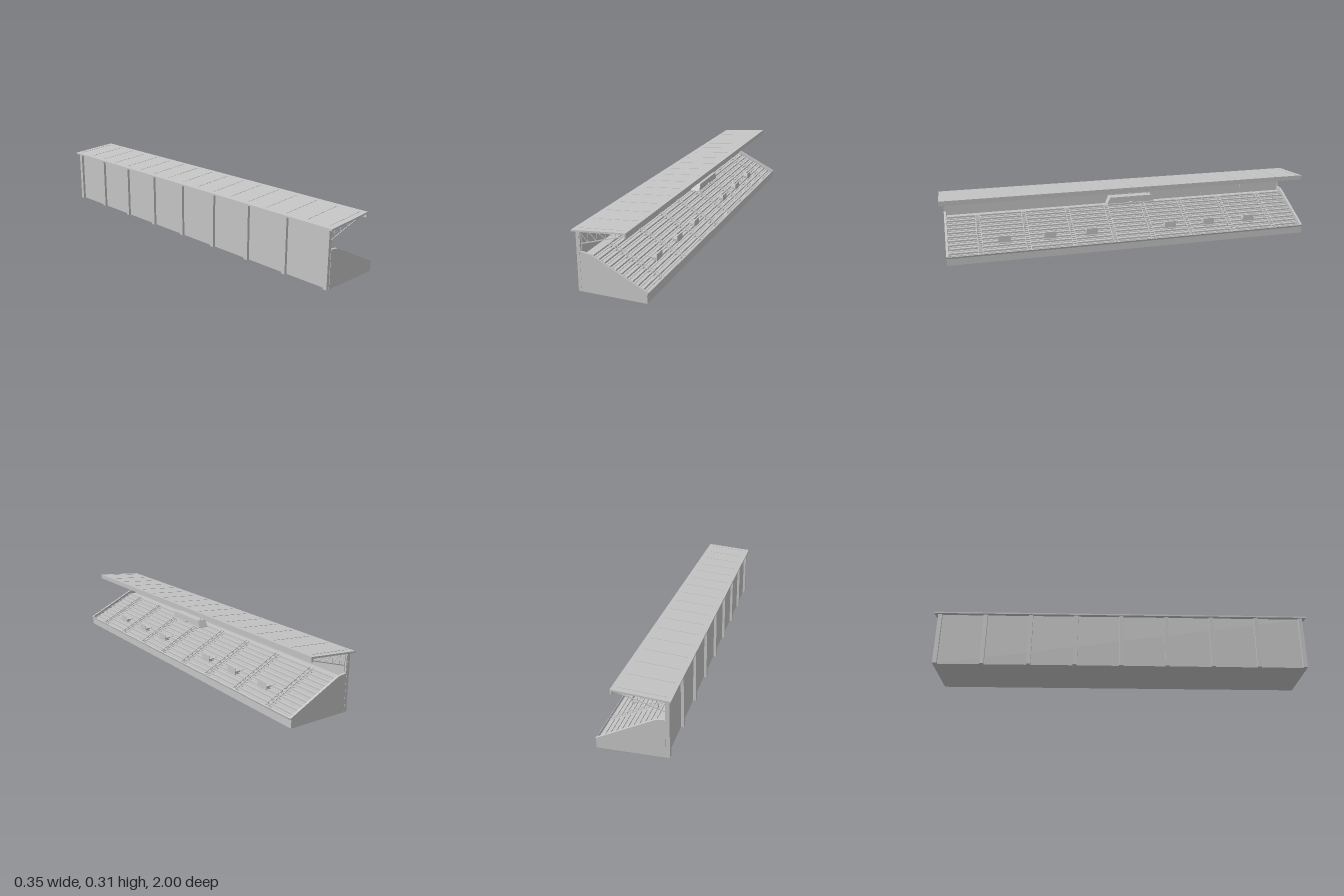
import * as THREE from 'three';

const grey = new THREE.MeshStandardMaterial({ color: 0xc4c4c4 });
grey.name = 'concrete grey';

// Rows of the seating slope
const ROWS = 10, RUN = 0.0265, RISE = 0.013, FRONT_X = 0.165, FRONT_Y = 0.036;
const AISLES = [-0.81, -0.565, -0.325, -0.105, 0.105, 0.325, 0.565, 0.81];
const AISLE_W = 0.022, END_Z = 0.97;
const BAY = 0.2425;
const tierY = (x) => FRONT_Y + (FRONT_X - x) * (RISE / RUN);
const roofY = (x) => 0.293 + (x + 0.175) * (0.022 / 0.263);

export function createModel() {
  const model = new THREE.Group();
  model.name = 'grandstand';

  const group = (name) => {
    const g = new THREE.Group();
    g.name = name;
    model.add(g);
    return g;
  };
  const add = (parent, name, geometry) => {
    const m = new THREE.Mesh(geometry, grey);
    m.name = name;
    parent.add(m);
    return m;
  };
  // Box given by its limits on each axis
  const box = (parent, name, x0, x1, y0, y1, z0, z1) => {
    const m = add(parent, name, new THREE.BoxGeometry(x1 - x0, y1 - y0, z1 - z0));
    m.position.set((x0 + x1) / 2, (y0 + y1) / 2, (z0 + z1) / 2);
    return m;
  };
  // Side profile swept along z
  const sweep = (parent, name, points, z0, z1) => {
    const shape = new THREE.Shape(points.map(([x, y]) => new THREE.Vector2(x, y)));
    const m = add(parent, name, new THREE.ExtrudeGeometry(shape, { depth: z1 - z0, bevelEnabled: false }));
    m.position.z = z0;
    return m;
  };
  // Square bar between two points of the side plane
  const bar = (parent, name, x0, y0, x1, y1, z, t) => {
    const m = add(parent, name, new THREE.BoxGeometry(Math.hypot(x1 - x0, y1 - y0), t, t));
    m.position.set((x0 + x1) / 2, (y0 + y1) / 2, z);
    m.rotation.z = Math.atan2(y1 - y0, x1 - x0);
  };

  // Stepped terrace
  const steps = [[-0.147, 0], [0.168, 0], [0.168, FRONT_Y], [FRONT_X, FRONT_Y]];
  for (let i = 1; i <= ROWS; i++) {
    const x = FRONT_X - i * RUN;
    steps.push([x, FRONT_Y + (i - 1) * RISE], [x, FRONT_Y + i * RISE]);
  }
  steps.push([-0.147, FRONT_Y + ROWS * RISE]);
  sweep(model, 'terrace', steps, -END_Z, END_Z);
  sweep(model, 'frontParapet', [[0.167, 0], [0.17, 0], [0.17, 0.036], [0.173, 0.046], [0.17, 0.048], [0.167, 0.036]], -END_Z, END_Z);

  // Sloping end walls
  const wall = [[-0.146, 0], [0.17, 0], [0.17, 0.038], [0.174, 0.048], [-0.1, 0.183], [-0.143, 0.189], [-0.146, 0.189]];
  for (const s of [-1, 1]) sweep(model, 'endWall', wall, s > 0 ? END_Z : -0.982, s > 0 ? 0.982 : -END_Z);

  // Benches between the aisles
  const benches = group('benches');
  const edges = [-END_Z, ...AISLES.flatMap((z) => [z - AISLE_W / 2, z + AISLE_W / 2]), END_Z];
  for (let i = 0; i < ROWS; i++) {
    const x = FRONT_X - (i + 1) * RUN, y = FRONT_Y + i * RISE;
    for (let k = 0; k < edges.length; k += 2) {
      const z0 = edges[k] + 0.003, z1 = edges[k + 1] - 0.003;
      box(benches, 'benchSeat', x + 0.003, x + 0.014, y + 0.006, y + 0.0085, z0, z1);
      box(benches, 'benchBack', x + 0.001, x + 0.003, y + 0.008, y + 0.017, z0, z1);
    }
  }

  // Aisle stairs with half steps and low side kerbs
  const stairs = group('aisleStairs');
  for (const z of AISLES) {
    for (let i = 0; i < ROWS; i++) {
      const x = FRONT_X - (i + 1) * RUN, y = FRONT_Y + i * RISE;
      box(stairs, 'halfStep', x, x + RUN / 2, y, y + RISE / 2, z - AISLE_W / 2, z + AISLE_W / 2);
    }
    for (const s of [-1, 1]) {
      bar(stairs, 'stairKerb', FRONT_X, FRONT_Y + 0.009, -0.1, tierY(-0.1) + 0.009, z + s * AISLE_W / 2, 0.003);
    }
  }

  // Entrance boxes rising from the seating
  const entrances = group('entrances');
  for (const z of [-0.685, -0.445, -0.22, 0.22, 0.445, 0.685]) {
    box(entrances, 'entranceBox', 0.035, 0.092, 0.06, 0.09, z - 0.032, z + 0.032);
    box(entrances, 'entranceParapet', 0.0905, 0.0925, 0.085, 0.106, z - 0.032, z + 0.032);
  }

  // Rear wall, columns and roof trusses
  box(model, 'rearWall', -0.15, -0.145, 0, 0.287, -0.98, 0.98);
  const columns = group('columns');
  const trusses = group('trusses');
  const low = (x) => 0.222 + (x + 0.148) * (0.068 / 0.223);
  const high = (x) => roofY(x) - 0.012;
  const nodes = [-0.147, -0.112, -0.068, -0.023, 0.022, 0.065];
  for (let i = -4; i <= 4; i++) {
    const z = i * BAY;
    box(columns, 'column', -0.164, -0.149, 0, 0.288, z - 0.011, z + 0.011);
    box(trusses, 'trussPost', -0.146, -0.142, 0.18, 0.285, z - 0.002, z + 0.002);
    bar(trusses, 'topChord', -0.147, high(-0.147), 0.08, high(0.08), z, 0.004);
    bar(trusses, 'bottomChord', -0.147, low(-0.147), 0.075, low(0.075), z, 0.004);
    for (let k = 1; k < nodes.length; k++) {
      const a = nodes[k - 1], b = nodes[k];
      bar(trusses, 'trussDiagonal', a, high(a) - (k === 1 ? 0.01 : 0), b, low(b), z, 0.002);
      bar(trusses, 'trussVertical', b, low(b), b, high(b), z, 0.002);
    }
  }

  // Roof with front fascia, rear edge and purlins
  sweep(model, 'roof', [[-0.175, 0.285], [-0.165, 0.286], [0.079, 0.306], [0.079, 0.29], [0.087, 0.29], [0.088, 0.315], [-0.175, 0.293]], -1, 1);
  const purlins = group('purlins');
  for (const x of [-0.14, 0.07]) box(purlins, 'purlin', x - 0.003, x + 0.003, roofY(x) - 0.011, roofY(x) - 0.006, -0.985, 0.985);

  // Raised seams on top of the roof
  const seams = group('roofSeams');
  for (let i = -8; i <= 8; i++) {
    bar(seams, 'roofSeam', -0.15, roofY(-0.15), 0.065, roofY(0.065), i * BAY / 2, 0.003);
  }

  // Round lamps under the roof, two in each bay
  const lamps = group('lamps');
  const lampShape = new THREE.CylinderGeometry(0.008, 0.008, 0.004, 16);
  for (let i = -4; i < 4; i++) {
    for (const t of [0.3, 0.7]) {
      add(lamps, 'lamp', lampShape).position.set(0, roofY(0) - 0.01, (i + t) * BAY);
    }
  }

  // Hanging commentary cabin with splayed ends
  const cabin = group('cabin');
  const body = new THREE.BoxGeometry(0.048, 0.034, 0.26);
  const p = body.attributes.position;
  for (let i = 0; i < p.count; i++) if (p.getY(i) > 0) p.setZ(i, Math.sign(p.getZ(i)) * 0.115);
  body.computeVertexNormals();
  add(cabin, 'cabinBody', body).position.set(0.046, 0.245, 0);
  box(cabin, 'cabinFloor', 0.02, 0.078, 0.225, 0.228, -0.132, 0.132);
  box(cabin, 'cabinLedge', 0.07, 0.082, 0.229, 0.234, -0.01, 0.01);
  for (const z of [-0.1, 0, 0.1]) bar(cabin, 'cabinHanger', 0.047, 0.26, 0.047, 0.302, z, 0.002);

  return model;
}
